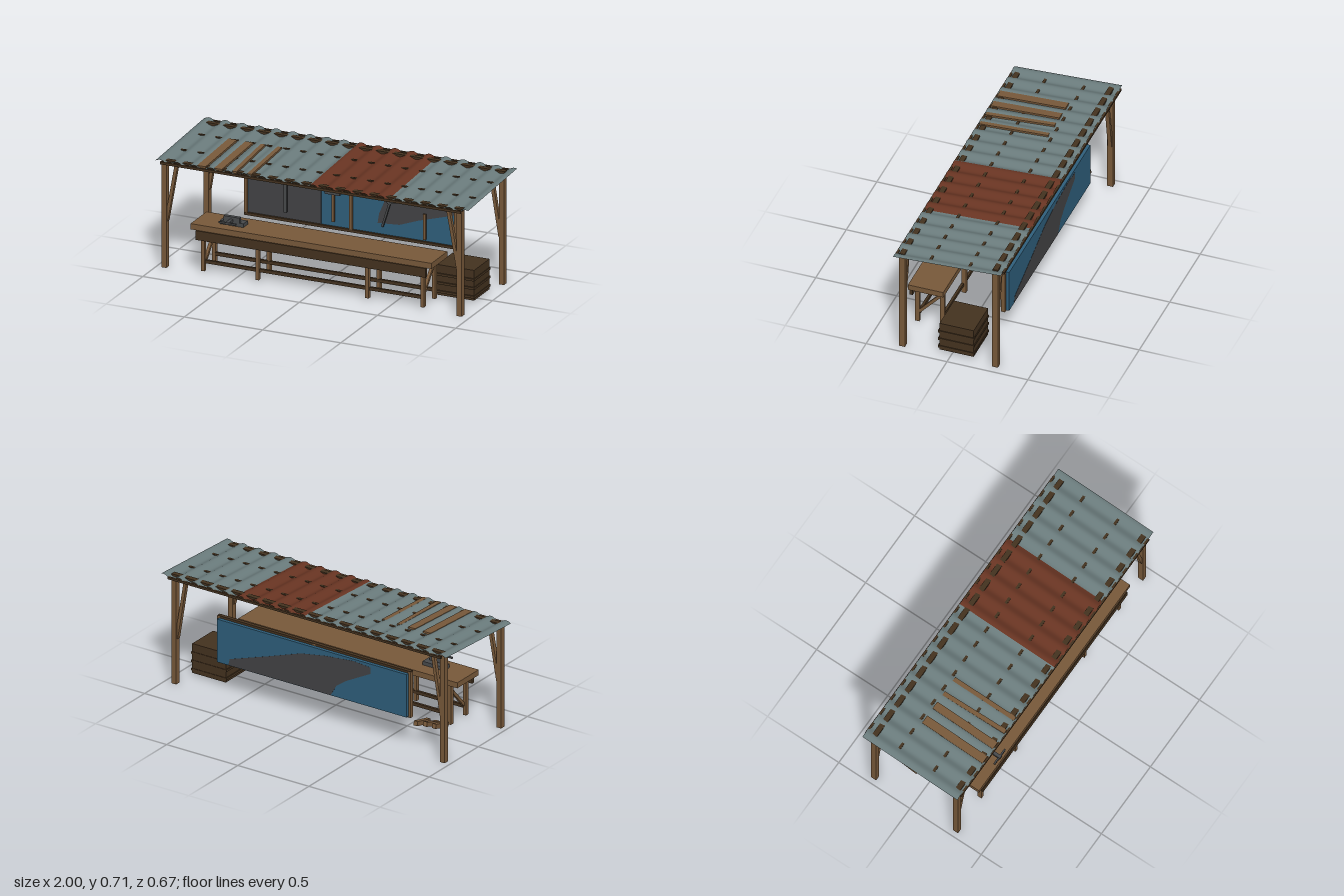
import * as THREE from 'three';

const mat = (name, color, side = THREE.FrontSide) => {
  const m = new THREE.MeshStandardMaterial({ color, side });
  m.name = name;
  return m;
};

export function createModel() {
  const model = new THREE.Group();
  model.name = 'workshopShelter';
  const wood = mat('wood', 0x78593a);
  const darkWood = mat('darkWood', 0x44321f);
  const steel = mat('roofSteel', 0x6a7b7c, THREE.DoubleSide);
  const rust = mat('roofRust', 0x683422, THREE.DoubleSide);
  const blue = mat('bluePaint', 0x2f5f7c);
  const grey = mat('barePatch', 0x434345);
  const iron = mat('iron', 0x484a4c);

  const add = (name, geo, m) => {
    const mesh = new THREE.Mesh(geo, m);
    mesh.name = name;
    model.add(mesh);
    return mesh;
  };
  // box from its limits
  const box = (name, m, x0, x1, y0, y1, z0, z1) => {
    const mesh = add(name, new THREE.BoxGeometry(x1 - x0, y1 - y0, z1 - z0), m);
    mesh.position.set((x0 + x1) / 2, (y0 + y1) / 2, (z0 + z1) / 2);
    return mesh;
  };
  // square-cut timber running between two points
  const beam = (name, m, a, b, w, d = w) => {
    const p = new THREE.Vector3(...a), q = new THREE.Vector3(...b);
    const mesh = add(name, new THREE.BoxGeometry(w, d, p.distanceTo(q)), m);
    mesh.position.copy(p).add(q).multiplyScalar(0.5);
    mesh.lookAt(q);
    return mesh;
  };
  const roofY = (z) => 0.679 - 0.053 * z;

  // Posts with corner braces
  for (const [z, top] of [[0.297, 0.65], [-0.278, 0.683]]) {
    for (const [x, s] of [[-0.952, 1], [0.935, -1]]) {
      box('post', wood, x - 0.016, x + 0.016, 0, top, z - 0.018, z + 0.018);
      beam('postBrace', wood, [x + s * 0.012, 0.29, z], [x + s * 0.075, top - 0.01, z], 0.024, 0.02);
    }
  }

  // Roof beams and purlins
  for (const [z, lo, hi, w] of [[0.297, -0.018, 0.001, 0.032], [-0.28, -0.016, 0.006, 0.032],
    [0.12, -0.018, -0.003, 0.016], [-0.12, -0.018, -0.003, 0.016],
    [0.33, -0.018, -0.003, 0.014], [-0.33, -0.016, -0.002, 0.014]]) {
    box('purlin', darkWood, -0.967, 0.953, roofY(z) + lo, roofY(z) + hi, z - w / 2, z + w / 2);
  }

  // Corrugated roof sheets
  for (const [x0, x1, m] of [[-1, -0.508, steel], [-0.508, -0.01, steel], [-0.01, 0.487, rust], [0.487, 1, steel]]) {
    const geo = new THREE.PlaneGeometry(x1 - x0, 0.666, 48, 1).rotateX(-Math.PI / 2);
    geo.translate((x0 + x1) / 2, 0, 0);
    const p = geo.attributes.position;
    for (let i = 0; i < p.count; i++) {
      p.setY(i, roofY(p.getZ(i)) - 0.009 * Math.cos((p.getX(i) + 0.914) * 2 * Math.PI / 0.1085));
    }
    geo.computeVertexNormals();
    add('roofSheet', geo, m);
  }

  // Repair planks lying on the roof
  for (const [xa, xb, w] of [[-0.708, -0.706, 0.054], [-0.602, -0.6, 0.05], [-0.498, -0.512, 0.028], [-0.402, -0.406, 0.028]]) {
    beam('roofPlank', wood, [xa, roofY(0.325) + 0.002, 0.325], [xb, roofY(-0.1) + 0.002, -0.1], w, 0.012);
  }

  // Workbench
  box('benchTop', wood, -0.775, 0.765, 0.27, 0.305, 0.112, 0.33);
  box('benchApron', darkWood, -0.74, 0.73, 0.212, 0.269, 0.314, 0.335);
  for (const x of [-0.708, -0.36, 0.342, 0.695]) {
    for (const z of [0.295, 0.14]) {
      box('benchLeg', wood, x - 0.011, x + 0.011, 0.015, 0.27, z - 0.013, z + 0.013);
    }
  }
  for (const z of [0.288, 0.148]) {
    box('benchRail', darkWood, -0.7, 0.69, 0.061, 0.081, z - 0.008, z + 0.008);
  }
  for (const x of [-0.7, 0.69]) {
    beam('benchBrace', wood, [x, 0.08, 0.286], [x, 0.22, 0.158], 0.018);
  }

  // Vise on the bench
  box('viseBase', iron, -0.62, -0.47, 0.305, 0.328, 0.2, 0.26);
  box('viseJaw', iron, -0.595, -0.495, 0.328, 0.36, 0.237, 0.262);
  box('viseScrew', iron, -0.555, -0.535, 0.331, 0.346, 0.262, 0.325);
  box('viseHandle', iron, -0.6, -0.49, 0.334, 0.344, 0.311, 0.321);

  // Tool board: painted panel, bare patches, frame
  box('boardPanel', blue, -0.672, 0.66, 0.198, 0.472, -0.256, -0.226);
  const patch = (name, pts, z) => {
    const s = new THREE.Shape(pts.map(([x, y]) => new THREE.Vector2(x, y)));
    add(name, new THREE.ExtrudeGeometry(s, { depth: 0.002, bevelEnabled: false }), grey).position.z = z;
  };
  patch('frontPatch', [[-0.665, 0.2], [-0.2, 0.2], [-0.2, 0.47], [-0.56, 0.47], [-0.665, 0.44]], -0.227);
  patch('frontPatch', [[0.16, 0.27], [0.3, 0.28], [0.42, 0.325], [0.655, 0.395], [0.655, 0.47],
    [0.22, 0.47], [0.2, 0.4], [0.17, 0.33]], -0.227);
  patch('backPatch', [[0.58, 0.2], [0.57, 0.24], [0.3, 0.33], [0.07, 0.41], [-0.1, 0.44], [-0.3, 0.46],
    [-0.42, 0.45], [-0.42, 0.41], [-0.25, 0.32], [-0.18, 0.27], [-0.14, 0.2]], -0.257);
  for (const x of [-0.678, -0.008, 0.663]) {
    box('boardStile', wood, x - 0.01, x + 0.01, 0.192, 0.483, -0.236, -0.212);
  }
  for (const y of [0.198, 0.478]) {
    box('boardRail', darkWood, -0.686, 0.672, y - 0.008, y + 0.008, -0.235, -0.211);
  }

  // Hanging tools
  box('chisel', iron, -0.428, -0.41, 0.25, 0.43, -0.21, -0.197);
  box('hammerHandle', wood, -0.122, -0.106, 0.24, 0.415, -0.211, -0.199);
  box('hammerHead', iron, -0.162, -0.066, 0.412, 0.44, -0.212, -0.187);
  beam('tongs', iron, [0.2, 0.26, -0.204], [0.25, 0.42, -0.204], 0.012);
  beam('tongs', iron, [0.24, 0.41, -0.204], [0.3, 0.43, -0.204], 0.012);
  beam('tongs', iron, [0.24, 0.41, -0.204], [0.215, 0.45, -0.204], 0.012);
  box('fileHandle', wood, 0.462, 0.478, 0.222, 0.38, -0.211, -0.199);

  // Crate with battens
  box('crate', darkWood, 0.682, 0.918, 0.013, 0.2, -0.134, 0.077);
  for (const y of [0.036, 0.089, 0.142]) {
    box('crateBatten', darkWood, 0.676, 0.923, y - 0.007, y + 0.007, -0.137, 0.086);
  }

  // Timber offcuts
  [[-0.825, 0.143, 0.018], [-0.762, 0.136, 0.022], [-0.695, 0.128, 0.016]].forEach(([x, y, rise]) => {
    beam('offcut', wood, [x, y - rise, -0.065], [x, y + rise, -0.197], 0.026, 0.028);
  });

  return model;
}
